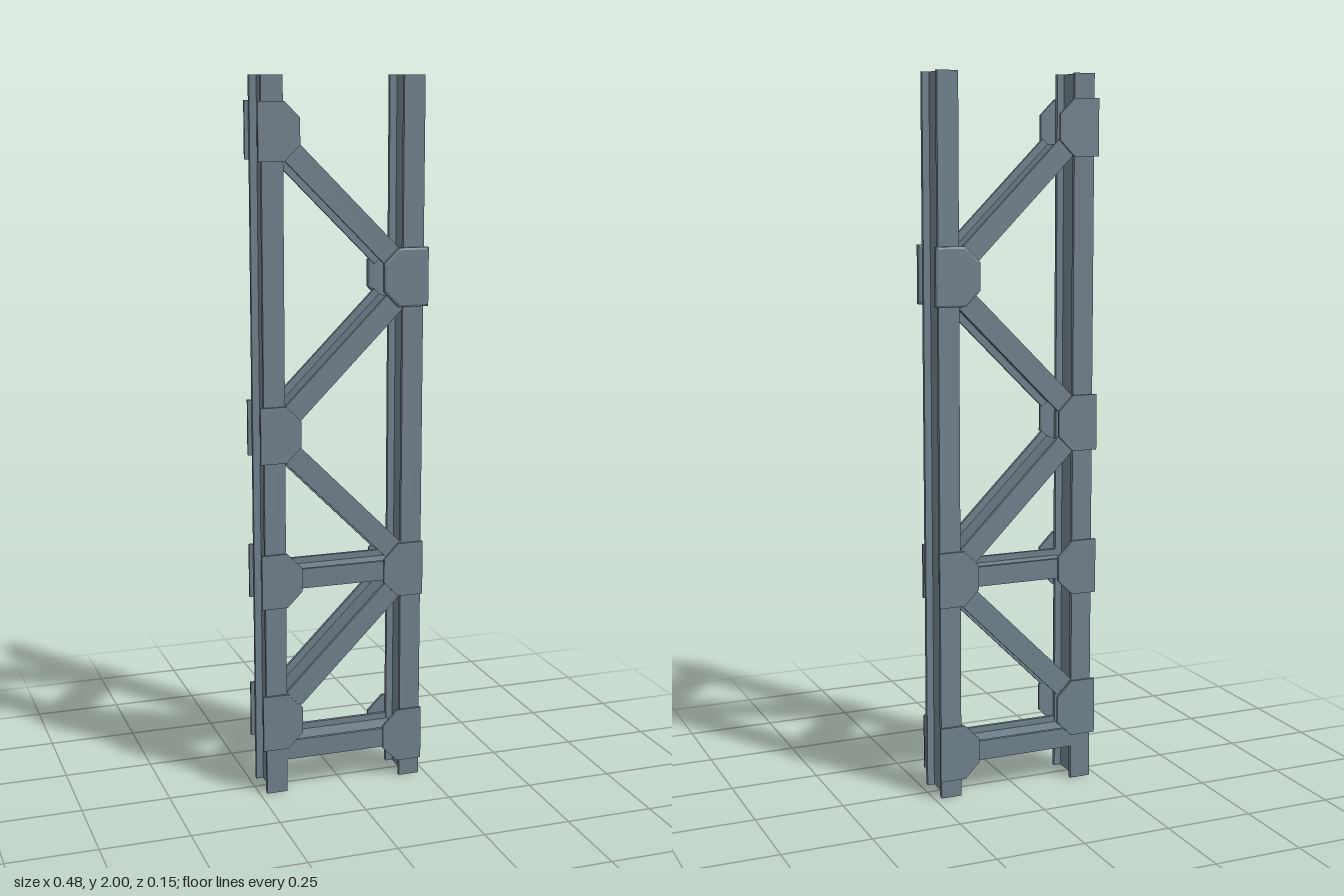
import * as THREE from 'three';

const steel = new THREE.MeshStandardMaterial({ color: 0x70808c });
steel.name = 'slate steel';

// I-beam from a to b in the XY plane: flanges face front and back, web between
function iBeam(name, [ax, ay], [bx, by], width, flange) {
  const beam = new THREE.Group();
  beam.name = name;
  const length = Math.hypot(bx - ax, by - ay);
  const add = (part, w, d, z) => {
    const mesh = new THREE.Mesh(new THREE.BoxGeometry(w, length, d), steel);
    mesh.name = part;
    mesh.position.z = z;
    beam.add(mesh);
  };
  add('web', 0.02, 0.122 - 2 * flange, 0);
  for (const s of [-1, 1]) add('flange', width, flange, s * (0.061 - flange / 2));
  beam.position.set((ax + bx) / 2, (ay + by) / 2, 0);
  beam.rotation.z = Math.atan2(by - ay, bx - ax) - Math.PI / 2;
  return beam;
}

// Pair of gusset plates with the inner corners cut; side is -1 or 1 in x
function gussets(side, y0, y1, inner, outer, thick, bevel) {
  const pair = new THREE.Group();
  pair.name = 'gussetPair';
  const c = 0.043;
  const pts = [[outer, y0], [outer, y1], [inner + c, y1], [inner, y1 - c], [inner, y0 + c], [inner + c, y0]];
  const shape = new THREE.Shape(pts.map(([x, y]) => new THREE.Vector2(side * x, y)));
  const geo = new THREE.ExtrudeGeometry(shape, {
    depth: thick - bevel, bevelEnabled: bevel > 0, bevelSegments: 1,
    bevelThickness: bevel, bevelSize: bevel * 2, bevelOffset: -bevel * 2,
  });
  for (const s of [-1, 1]) {
    const plate = new THREE.Mesh(geo, steel);
    plate.name = s > 0 ? 'frontGusset' : 'backGusset';
    plate.position.z = s > 0 ? 0.06 : -0.06 - thick + bevel;
    pair.add(plate);
  }
  return pair;
}

export function createModel() {
  const model = new THREE.Group();
  model.name = 'trussTower';

  // Upright columns
  model.add(iBeam('rightColumn', [-0.2, 0], [-0.2, 2], 0.06, 0.012));
  model.add(iBeam('leftColumn', [0.2, 0], [0.2, 2], 0.06, 0.012));

  // Zigzag diagonals, each at 45 degrees through its mid height
  [[0.425, 1], [0.835, -1], [1.245, 1], [1.655, -1]].forEach(([y, slope]) => {
    const e = 0.149;
    model.add(iBeam('diagonal', [-e, y - slope * e], [e, y + slope * e], 0.06, 0.01));
  });

  // Horizontal struts
  for (const y of [0.124, 0.628]) model.add(iBeam('strut', [-0.172, y], [0.172, y], 0.056, 0.01));

  // Gusset plates at the joints
  for (const [y0, y1] of [[0.132, 0.293], [0.55, 0.705], [0.963, 1.12], [1.777, 1.933]])
    model.add(gussets(-1, y0, y1, 0.125, 0.241, 0.008, 0));
  for (const [y0, y1] of [[0.05, 0.205], [0.55, 0.705]])
    model.add(gussets(1, y0, y1, 0.118, 0.234, 0.008, 0));
  model.add(gussets(1, 1.378, 1.54, 0.112, 0.241, 0.014, 0.003));

  return model;
}
